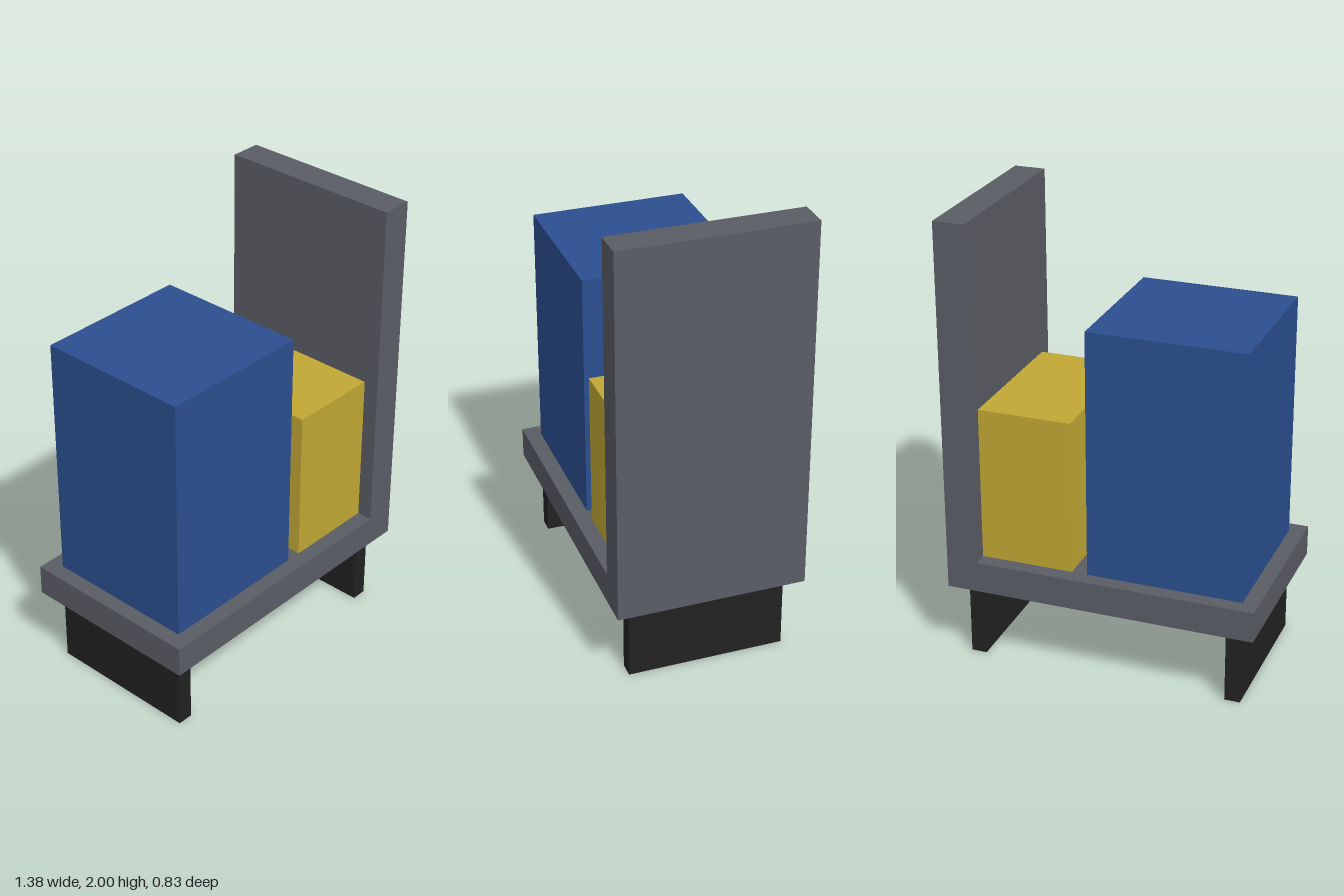
import * as THREE from 'three';

const U = 2 / 29; // modelling unit: total height is 29 units

function material(name, color) {
  const m = new THREE.MeshStandardMaterial({ color });
  m.name = name;
  return m;
}

export function createModel() {
  const group = new THREE.Group();
  const grey = material('slate grey', 0x5a5d65);
  const blue = material('blue', 0x2b4f90);
  const yellow = material('mustard yellow', 0xc1a735);
  const black = material('black', 0x222222);

  // Block given by its x and y limits and its depth, centred on z = 0
  function block(name, mat, x0, x1, y0, y1, depth) {
    const geometry = new THREE.BoxGeometry((x1 - x0) * U, (y1 - y0) * U, depth * U);
    const mesh = new THREE.Mesh(geometry, mat);
    mesh.position.set((x0 + x1) / 2 * U, (y0 + y1) / 2 * U, 0);
    mesh.name = name;
    group.add(mesh);
  }

  // L-shaped frame: platform and upright panel in one piece
  const profile = [[-10, 5], [10, 5], [10, 29], [8, 29], [8, 7], [-10, 7]];
  const shape = new THREE.Shape(profile.map(([x, y]) => new THREE.Vector2(x * U, y * U)));
  const frameGeometry = new THREE.ExtrudeGeometry(shape, { depth: 12 * U, bevelEnabled: false });
  frameGeometry.translate(0, 0, -6 * U);
  const frame = new THREE.Mesh(frameGeometry, grey);
  frame.name = 'frame';
  group.add(frame);

  // Blocks standing on the platform
  block('tallBlock', blue, -9, 1, 7, 23, 10);
  block('shortBlock', yellow, 2, 8, 7, 17, 10);

  // Plate legs
  block('rightLeg', black, -9, -8, 0, 5, 10);
  block('leftLeg', black, 8, 9, 0, 5, 10);

  return group;
}
